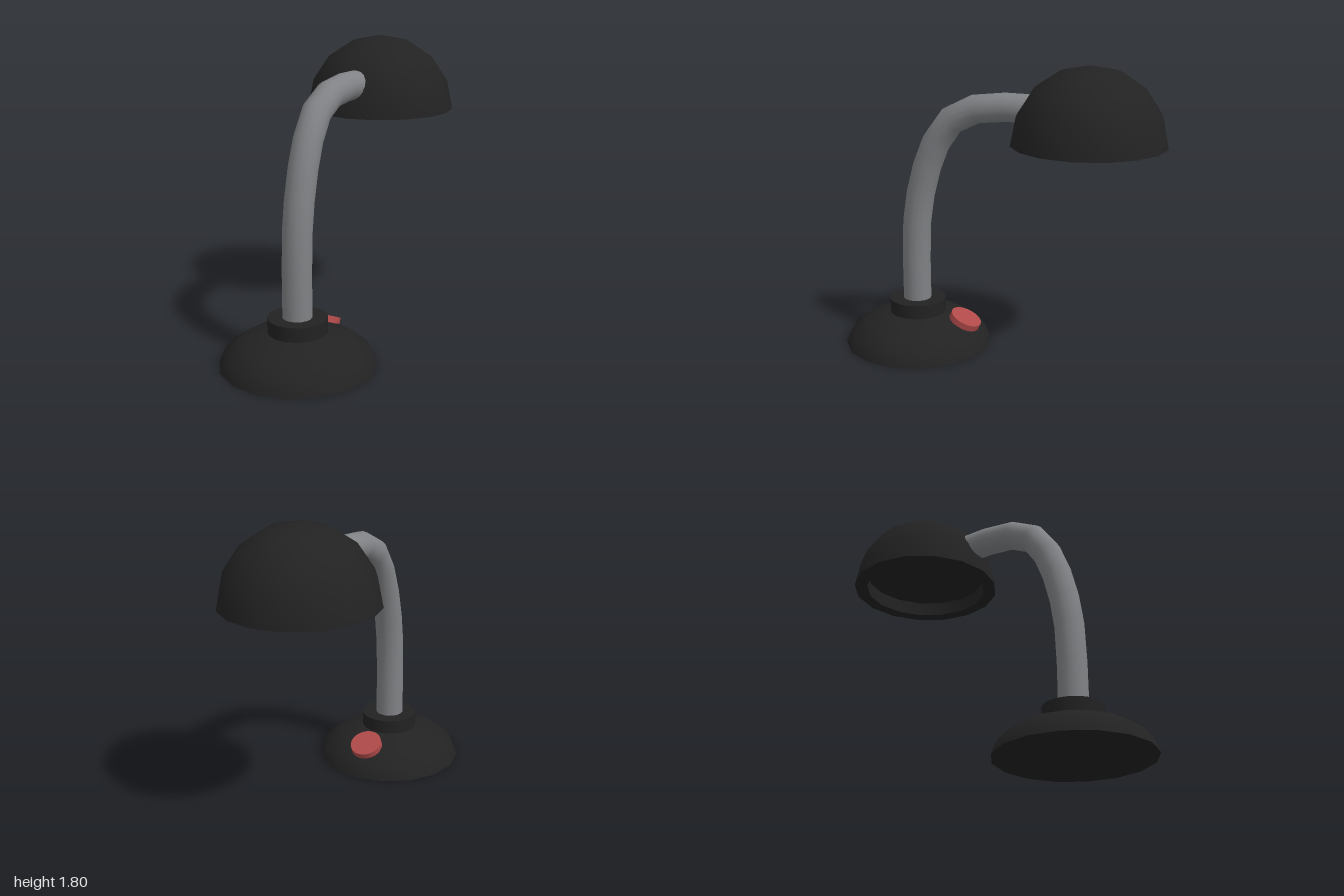
import * as THREE from 'three';
import { toCreasedNormals } from 'three/addons/utils/BufferGeometryUtils.js';

const RADIUS = 0.46;
const OFFSET = 0.54; // base sits forward, shade hangs back

// Half dome, closed underneath by the given [radius, y] points (centre outwards)
function domeGeometry(height, underside) {
  const profile = underside.map(([r, y]) => new THREE.Vector2(r, y));
  for (let i = 0; i <= 4; i++) {
    const a = (i * Math.PI) / 8;
    profile.push(new THREE.Vector2(i === 4 ? 0 : RADIUS * Math.cos(a), height * Math.sin(a)));
  }
  return toCreasedNormals(new THREE.LatheGeometry(profile, 16), Math.PI / 3);
}

export function createModel() {
  const lamp = new THREE.Group();
  lamp.name = 'deskLamp';

  const black = new THREE.MeshStandardMaterial({ color: 0x222222 });
  black.name = 'matteBlack';
  const grey = new THREE.MeshStandardMaterial({ color: 0x808285 });
  grey.name = 'neckGrey';
  const red = new THREE.MeshStandardMaterial({ color: 0xb04a4a });
  red.name = 'buttonRed';

  function add(name, geometry, material, x, y, z) {
    const mesh = new THREE.Mesh(geometry, material);
    mesh.name = name;
    mesh.position.set(x, y, z);
    lamp.add(mesh);
    return mesh;
  }

  // Flattened dome base with a collar for the neck
  add('base', domeGeometry(0.22, [[0, 0]]), black, 0, 0, OFFSET);
  add('collar', new THREE.CylinderGeometry(0.175, 0.175, 0.11, 32), black, 0, 0.235, OFFSET);

  // Bent neck, with one ring of the tube at each path point
  const path = [
    [0.25, 0.543], [0.55, 0.543], [0.79, 0.534], [0.97, 0.507], [1.147, 0.461], [1.3, 0.4],
    [1.44, 0.3], [1.516, 0.145], [1.535, -0.04], [1.53, -0.3],
  ].map(([y, z]) => new THREE.Vector3(0, y, z));
  const curve = new THREE.CatmullRomCurve3(path);
  curve.getPointAt = curve.getPoint;
  curve.getTangentAt = curve.getTangent;
  add('neck', new THREE.TubeGeometry(curve, path.length - 1, 0.087, 16), grey, 0, 0, 0);

  // Dome shade with a flat rim and a shallow recess underneath
  const recess = [[0, 0.09], [0.38, 0.09], [0.38, 0]];
  add('shade', domeGeometry(RADIUS, recess), black, 0, 1.34, -OFFSET);

  // Tilted switch on the back slope of the base
  const button = add('switchButton', new THREE.CylinderGeometry(0.1, 0.1, 0.04, 24), red, 0, 0.17, 0.225);
  button.rotation.x = -0.44;

  return lamp;
}
